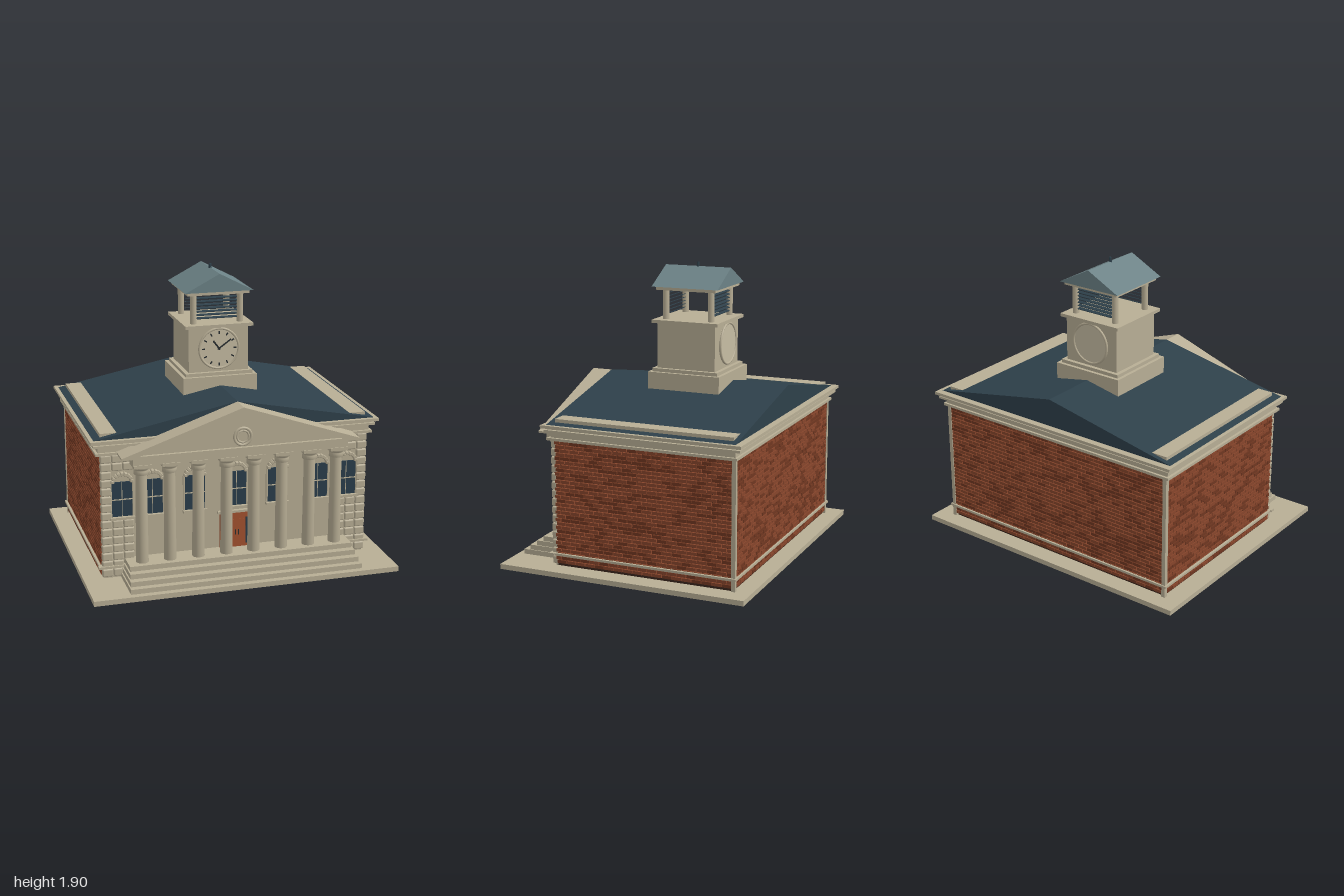
import * as THREE from 'three';
import { mergeGeometries } from 'three/addons/utils/BufferGeometryUtils.js';
import { RoundedBoxGeometry } from 'three/addons/geometries/RoundedBoxGeometry.js';

const mat = (name, color) => Object.assign(new THREE.MeshStandardMaterial({ color }), { name });

export function createModel() {
  const root = new THREE.Group();
  root.name = 'townHall';
  const stone = mat('stone', 0xb8ae95), slate = mat('slate', 0x2e404a), patina = mat('patina', 0x6c8286);
  const brick = mat('brick', 0x87452b), darkBrick = mat('darkBrick', 0x703721), mortar = mat('mortar', 0x3a261c);
  const glass = mat('glass', 0x2a3d4b), wood = mat('wood', 0xa2512f), iron = mat('iron', 0x282d2f), dial = mat('dial', 0xc6bca3);

  const add = (name, geo, material, parent = root) => {
    const m = new THREE.Mesh(geo, material);
    m.name = name;
    parent.add(m);
    return m;
  };
  // Box given by its limits on each axis
  const span = (x0, x1, y0, y1, z0, z1) =>
    new THREE.BoxGeometry(x1 - x0, y1 - y0, z1 - z0).translate((x0 + x1) / 2, (y0 + y1) / 2, (z0 + z1) / 2);
  const pillow = (x0, x1, y0, y1, z0, z1, r = 0.01) =>
    new RoundedBoxGeometry(x1 - x0, y1 - y0, z1 - z0, 1, r).translate((x0 + x1) / 2, (y0 + y1) / 2, (z0 + z1) / 2);
  const extrude = (points, z0, z1, hole) => {
    const s = new THREE.Shape(points.map(p => new THREE.Vector2(...p)));
    if (hole) s.holes.push(new THREE.Path(hole.map(p => new THREE.Vector2(...p))));
    return new THREE.ExtrudeGeometry(s, { depth: z1 - z0, bevelEnabled: false }).translate(0, 0, z0);
  };

  // Ground slab, wall core and stone front
  add('groundSlab', span(-1, 1, 0, 0.033, -0.83, 0.83), stone);
  add('wallCore', span(-0.868, 0.868, 0.033, 0.86, -0.712, 0.48), mortar);
  add('frontWall', span(-0.87, 0.87, 0.033, 0.86, 0.48, 0.495), stone);

  // Brick courses on both sides and the back
  let seed = 7;
  const rand = () => (seed = (seed * 16807) % 2147483647) / 2147483647;
  const light = [], dark = [];
  const brickWall = (a0, a1, place) => {
    const rows = 32, h = 0.8 / rows, len = 0.066;
    for (let r = 0; r < rows; r++) {
      const y = 0.053 + r * h;
      for (let a = a0 - (r % 2) * len / 2; a < a1 - 0.01; a += len) {
        const s = Math.max(a, a0), e = Math.min(a + len - 0.005, a1);
        if (e - s > 0.005) (rand() < 0.35 ? dark : light).push(place(s, e, y, y + h - 0.005));
      }
    }
  };
  brickWall(-0.705, 0.485, (s, e, y0, y1) => span(0.86, 0.884, y0, y1, s, e));
  brickWall(-0.705, 0.485, (s, e, y0, y1) => span(-0.884, -0.86, y0, y1, s, e));
  brickWall(-0.865, 0.865, (s, e, y0, y1) => span(s, e, y0, y1, -0.728, -0.705));
  add('bricks', mergeGeometries(light), brick);
  add('darkBricks', mergeGeometries(dark), darkBrick);

  // Plinth band and back corner strips
  for (const s of [-1, 1]) {
    add('plinthBand', span(s * 0.88 - 0.02, s * 0.88 + 0.02, 0.105, 0.12, -0.74, 0.5), stone);
    add('frontBand', span(s * 0.79 - 0.115, s * 0.79 + 0.115, 0.105, 0.12, 0.49, 0.525), stone);
    add('cornerStrip', span(s * 0.875 - 0.013, s * 0.875 + 0.013, 0.035, 0.86, -0.732, -0.705), stone);
  }
  add('backBand', span(-0.9, 0.9, 0.105, 0.12, -0.74, -0.71), stone);

  // Rusticated blocks at the front corners, left open round the outer windows
  const blocks = [], cols = [[0.67, 0.74], [0.74, 0.81], [0.81, 0.882]];
  for (const s of [-1, 1]) for (let r = 0; r < 15; r++) {
    const y = 0.045 + r * 0.054;
    cols.forEach(([a, b], i) => {
      if (i < 2 && y > 0.39 && y < 0.74) return;
      const [x0, x1] = s > 0 ? [a, b] : [-b, -a];
      blocks.push(pillow(x0 + 0.001, x1 - 0.001, y, y + 0.053, 0.475, 0.515));
    });
  }
  add('cornerBlocks', mergeGeometries(blocks), stone);

  // Windows with sill, jambs, glazing bars and a ring of arch stones
  for (const x of [-0.745, -0.55, -0.275, 0, 0.275, 0.55, 0.745]) {
    const w = new THREE.Group();
    w.name = 'window';
    w.position.set(x, 0, 0.495);
    root.add(w);
    add('pane', span(-0.067, 0.067, 0.44, 0.67, 0, 0.008), glass, w);
    const frame = [span(-0.078, 0.078, 0.425, 0.442, -0.01, 0.03), span(-0.065, 0.065, 0.552, 0.558, 0, 0.013),
      span(-0.002, 0.002, 0.44, 0.67, 0, 0.01)];
    for (const s of [-1, 1]) frame.push(span(s * 0.071 - 0.005, s * 0.071 + 0.005, 0.44, 0.67, 0, 0.016));
    add('frame', mergeGeometries(frame), stone, w);
    const arch = [];
    for (let i = 0; i < 9; i++) {
      const t = Math.PI * (i + 0.5) / 9;
      arch.push(new RoundedBoxGeometry(0.024, 0.022, 0.032, 1, 0.006).rotateZ(t)
        .translate(0.062 * Math.cos(t), 0.668 + 0.057 * Math.sin(t), 0.012));
    }
    add('archStones', mergeGeometries(arch), stone, w);
  }

  // Double door with raised panels
  add('door', span(-0.11, 0.11, 0.16, 0.395, 0.495, 0.515), wood);
  add('doorHead', span(-0.125, 0.125, 0.395, 0.41, 0.495, 0.52), stone);
  for (const s of [-1, 1]) {
    add('doorPanel', span(s * 0.032 - 0.014, s * 0.032 + 0.014, 0.18, 0.35, 0.513, 0.519), wood);
    add('sideLight', span(s * 0.082 - 0.022, s * 0.082 + 0.022, 0.18, 0.36, 0.513, 0.518), glass);
    add('doorHandle', span(s * 0.01 - 0.002, s * 0.01 + 0.002, 0.245, 0.28, 0.515, 0.522), iron);
  }

  // Portico steps
  [[0.76, 0.79], [0.752, 0.75], [0.744, 0.705], [0.735, 0.66]].forEach(([x, z], i) =>
    add('step', span(-x, x, 0.033 + i * 0.032, 0.065 + i * 0.032, 0.48, z), stone));

  // Columns turned from one profile with square top blocks
  const profile = [[0, 0.16], [0.04, 0.16], [0.036, 0.74], [0.046, 0.745], [0.046, 0.772], [0.04, 0.775],
    [0.054, 0.785], [0.054, 0.8], [0, 0.8]].map(p => new THREE.Vector2(...p));
  for (const x of [0.09, 0.275, 0.46, 0.64]) for (const s of [-1, 1]) {
    add('column', new THREE.LatheGeometry(profile, 20), stone).position.set(s * x, 0, 0.588);
    add('abacus', span(s * x - 0.058, s * x + 0.058, 0.795, 0.815, 0.53, 0.646), stone);
  }

  // Entablature and pediment
  add('architrave', span(-0.7, 0.7, 0.81, 0.86, 0.48, 0.64), stone);
  add('tympanum', extrude([[-0.72, 0.865], [0.72, 0.865], [0, 1.12]], 0.5, 0.636), stone);
  add('rakingCornice', extrude([[-0.775, 0.86], [0.775, 0.86], [0.775, 0.872], [0, 1.137], [-0.775, 0.872]],
    0.5, 0.657, [[-0.66, 0.877], [0, 1.105], [0.66, 0.877]]), stone);
  add('emblemRing', new THREE.TorusGeometry(0.055, 0.009, 8, 32), stone).position.set(0, 0.945, 0.64);
  add('emblemCore', new THREE.TorusGeometry(0.04, 0.007, 6, 8), stone).position.set(0, 0.945, 0.64);

  // Main cornice in stacked bands
  [[0.91, 0.855, 0.872, -0.745, 0.522], [0.893, 0.87, 0.915, -0.73, 0.505],
    [0.925, 0.91, 0.925, -0.77, 0.535], [0.905, 0.925, 0.94, -0.75, 0.52], [0.945, 0.938, 0.957, -0.785, 0.55]]
    .forEach(([x, y0, y1, z0, z1]) => add('cornice', span(-x, x, y0, y1, z0, z1), stone));

  // Gabled main roof with side parapets
  add('mainRoof', extrude([[-0.92, 0.957], [0.92, 0.957], [0, 1.138]], -0.74, 0.52), slate);
  for (const s of [-1, 1])
    add('roofParapet', span(s * 0.82 - 0.053, s * 0.82 + 0.053, 0.95, 0.988, -0.71, 0.482), stone);

  // Clock tower
  const tower = new THREE.Group();
  tower.name = 'clockTower';
  tower.position.z = -0.112;
  root.add(tower);
  const tier = (name, h, y0, y1) => add(name, span(-h, h, y0, y1, -h, h), stone, tower);
  tier('towerBase', 0.248, 1.08, 1.2);
  tier('lowerMoulding', 0.226, 1.2, 1.222);
  tier('towerShaft', 0.2, 1.22, 1.52);
  tier('upperMoulding', 0.228, 1.517, 1.538);
  tier('belfryBeam', 0.207, 1.73, 1.75);
  for (const x of [-1, 1]) for (const z of [-1, 1])
    add('belfryPost', new THREE.CylinderGeometry(0.021, 0.021, 0.2, 14).translate(x * 0.157, 1.635, z * 0.157), stone, tower);
  const slats = [];
  for (const z of [-1, 1]) for (let i = 0; i < 7; i++)
    slats.push(new THREE.BoxGeometry(0.27, 0.004, 0.022).rotateX(z * 0.3).translate(0, 1.572 + i * 0.022, z * 0.157));
  add('louvres', mergeGeometries(slats), slate, tower);
  add('towerRoof', extrude([[-0.228, 1.752], [0.228, 1.752], [0, 1.87]], -0.228, 0.228), patina, tower);
  add('finial', new THREE.CylinderGeometry(0.008, 0.01, 0.045, 10).translate(0, 1.875, 0), slate, tower);

  // Clock dials front and back; marks and hands on the front
  for (const s of [-1, 1]) {
    const clock = new THREE.Group();
    clock.name = s > 0 ? 'frontClock' : 'backClock';
    clock.position.set(0, 1.378, s * 0.205);
    if (s < 0) clock.rotation.y = Math.PI;
    tower.add(clock);
    add('dial', new THREE.CylinderGeometry(0.13, 0.13, 0.016, 40).rotateX(Math.PI / 2), dial, clock);
    add('dialRim', new THREE.TorusGeometry(0.132, 0.008, 8, 40).translate(0, 0, 0.007), stone, clock);
    if (s < 0) continue;
    const bar = (w, len, from, angle) =>
      new THREE.BoxGeometry(w, len, 0.004).translate(0, from + len / 2, 0.011).rotateZ(angle);
    const marks = [bar(0.011, 0.075, -0.01, 0.65), bar(0.009, 0.11, -0.012, -0.95)];
    for (let i = 0; i < 12; i++) marks.push(bar(0.008, 0.02, 0.096, i * Math.PI / 6));
    add('marksAndHands', mergeGeometries(marks), iron, clock);
  }
  return root;
}
